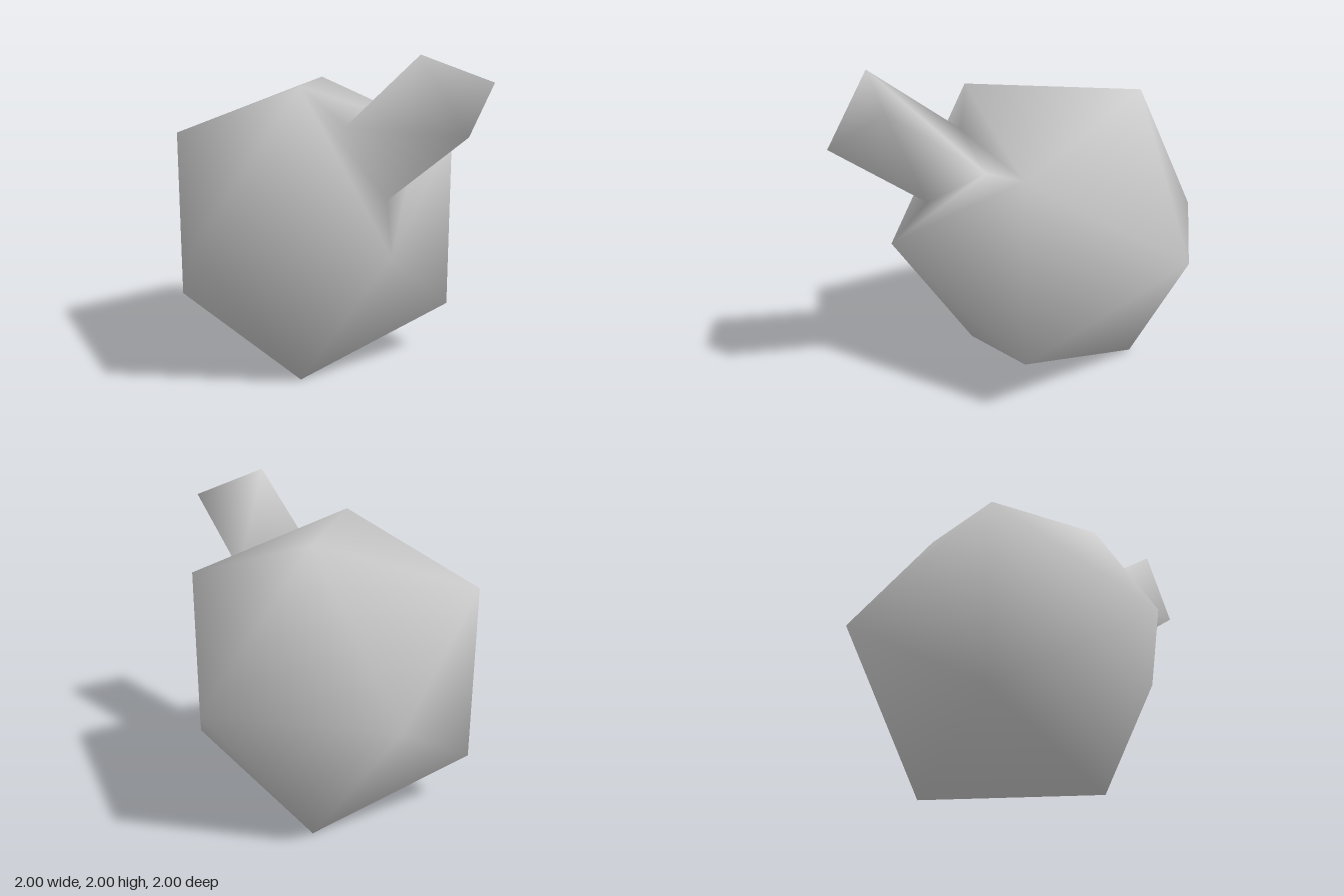
import * as THREE from 'three';
import { mergeVertices } from 'three/addons/utils/BufferGeometryUtils.js';

const RADIUS = 1.064;   // icosahedron circumradius
const INSET = 0.448;    // size of the stud relative to its face
const HEIGHT = 0.729;   // stud length along the face normal

// Icosahedron with one face inset and extruded, sharing smooth normals throughout
function studdedIcosahedron() {
  let ico = new THREE.IcosahedronGeometry(RADIUS, 0).rotateY(Math.PI / 2);
  ico.deleteAttribute('normal');
  ico.deleteAttribute('uv');
  ico = mergeVertices(ico, 1e-3);

  const points = [];
  const position = ico.attributes.position;
  for (let i = 0; i < position.count; i++) {
    points.push(new THREE.Vector3().fromBufferAttribute(position, i));
  }
  const axis = new THREE.Vector3(1, 1, 1).normalize();
  const source = Array.from(ico.index.array);
  const indices = [];

  // Bridge two triangular loops with quads
  const bridge = (low, high) => {
    for (let i = 0; i < 3; i++) {
      const j = (i + 1) % 3;
      indices.push(low[i], low[j], high[j], low[i], high[j], high[i]);
    }
  };

  for (let f = 0; f < source.length; f += 3) {
    const face = source.slice(f, f + 3);
    const centre = new THREE.Vector3();
    face.forEach((i) => centre.addScaledVector(points[i], 1 / 3));
    if (centre.clone().normalize().dot(axis) < 0.99) {
      indices.push(...face);
      continue;
    }
    // Inset loop on the face, then the same loop pushed outwards
    const addLoop = (offset) => face.map((i) => points.push(
      centre.clone().lerp(points[i], INSET).addScaledVector(axis, offset)) - 1);
    const base = addLoop(0);
    const tip = addLoop(HEIGHT);
    bridge(face, base);
    bridge(base, tip);
    indices.push(...tip);
  }

  const geometry = new THREE.BufferGeometry().setFromPoints(points);
  geometry.setIndex(indices);
  geometry.computeVertexNormals();
  return geometry;
}

export function createModel() {
  const group = new THREE.Group();
  group.name = 'studdedIcosahedron';
  const body = new THREE.Mesh(
    studdedIcosahedron(),
    new THREE.MeshStandardMaterial({ color: 0xcccccc })
  );
  body.name = 'bodyWithStud';
  body.position.set(-0.095, 0.905, -0.095);
  group.add(body);
  return group;
}
